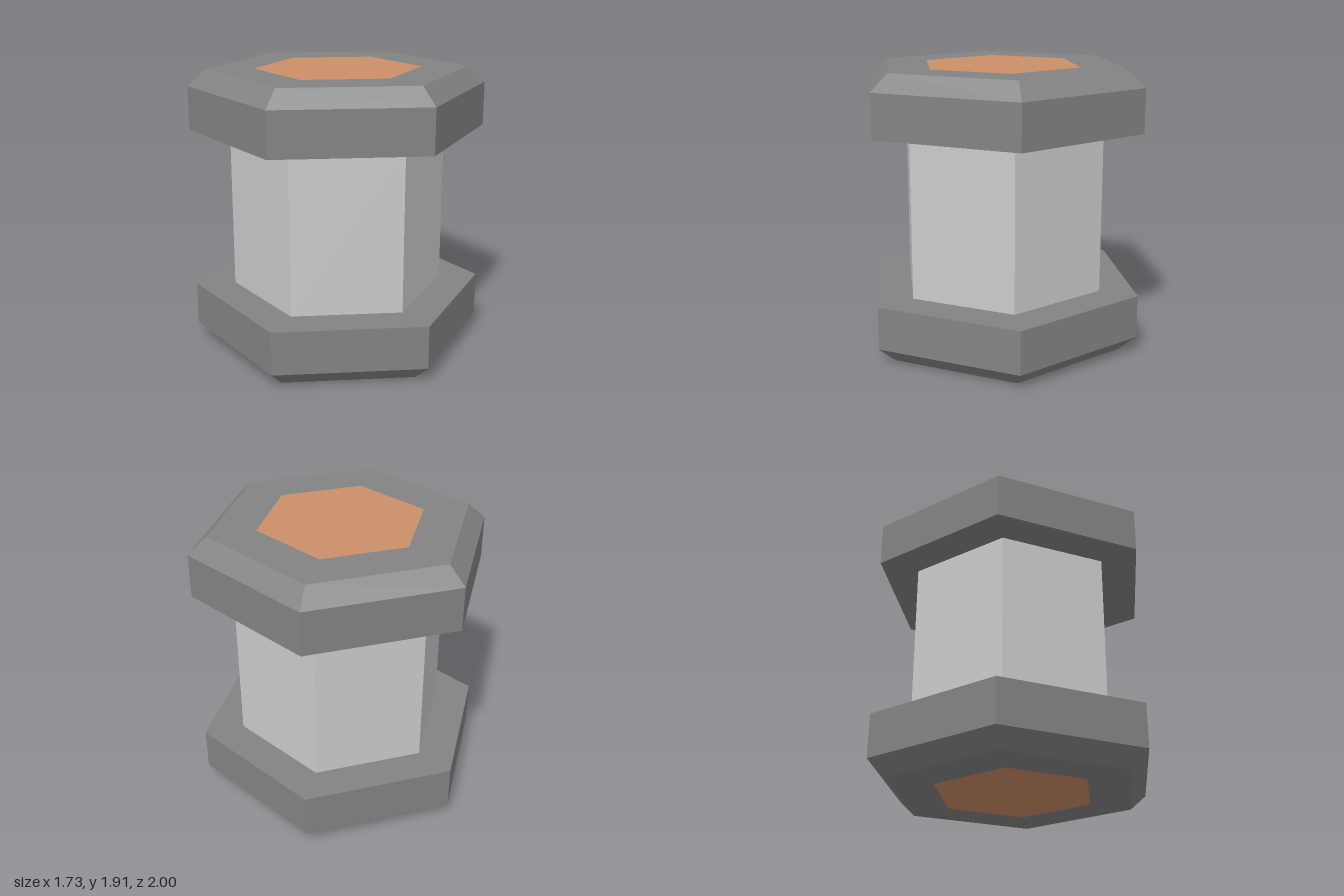
import * as THREE from 'three';

const HEIGHT = 1.915;
const FLANGE = 0.405; // thickness of each end flange
const SHAFT_R = 0.73;
const INLAY_R = 0.56;

const material = (color) => new THREE.MeshStandardMaterial({ color, flatShading: true });

function addMesh(parent, name, geometry, mat) {
  const mesh = new THREE.Mesh(geometry, mat);
  mesh.name = name;
  parent.add(mesh);
  return mesh;
}

export function createModel() {
  const model = new THREE.Group();
  model.name = 'hexSpool';
  const shaftMat = material(0xcccccc);
  const flangeMat = material(0x828483);
  const inlayMat = material(0xcc8f68);

  // Hexagonal shaft between the flanges
  const shaft = new THREE.CylinderGeometry(SHAFT_R, SHAFT_R, HEIGHT - 2 * FLANGE, 6, 1, true);
  addMesh(model, 'shaft', shaft, shaftMat).position.y = HEIGHT / 2;

  // Flange profile: outer face around the inlay, chamfer, rim, inner face
  const profile = [
    [INLAY_R, 0], [0.875, 0], [1, 0.11], [1, FLANGE], [SHAFT_R, FLANGE],
  ].map(([r, y]) => new THREE.Vector2(r, y));
  const flangeGeo = new THREE.LatheGeometry(profile, 6);

  // Hexagonal inlay flush with the outer face, facing outwards (down)
  const inlayGeo = new THREE.CircleGeometry(INLAY_R, 6).rotateX(Math.PI / 2).rotateY(Math.PI / 2);

  // The top end is the bottom end turned over
  for (const top of [false, true]) {
    const end = new THREE.Group();
    end.name = top ? 'topEnd' : 'bottomEnd';
    addMesh(end, 'flange', flangeGeo, flangeMat);
    addMesh(end, 'inlay', inlayGeo, inlayMat);
    if (top) {
      end.rotation.x = Math.PI;
      end.position.y = HEIGHT;
    }
    model.add(end);
  }
  return model;
}
